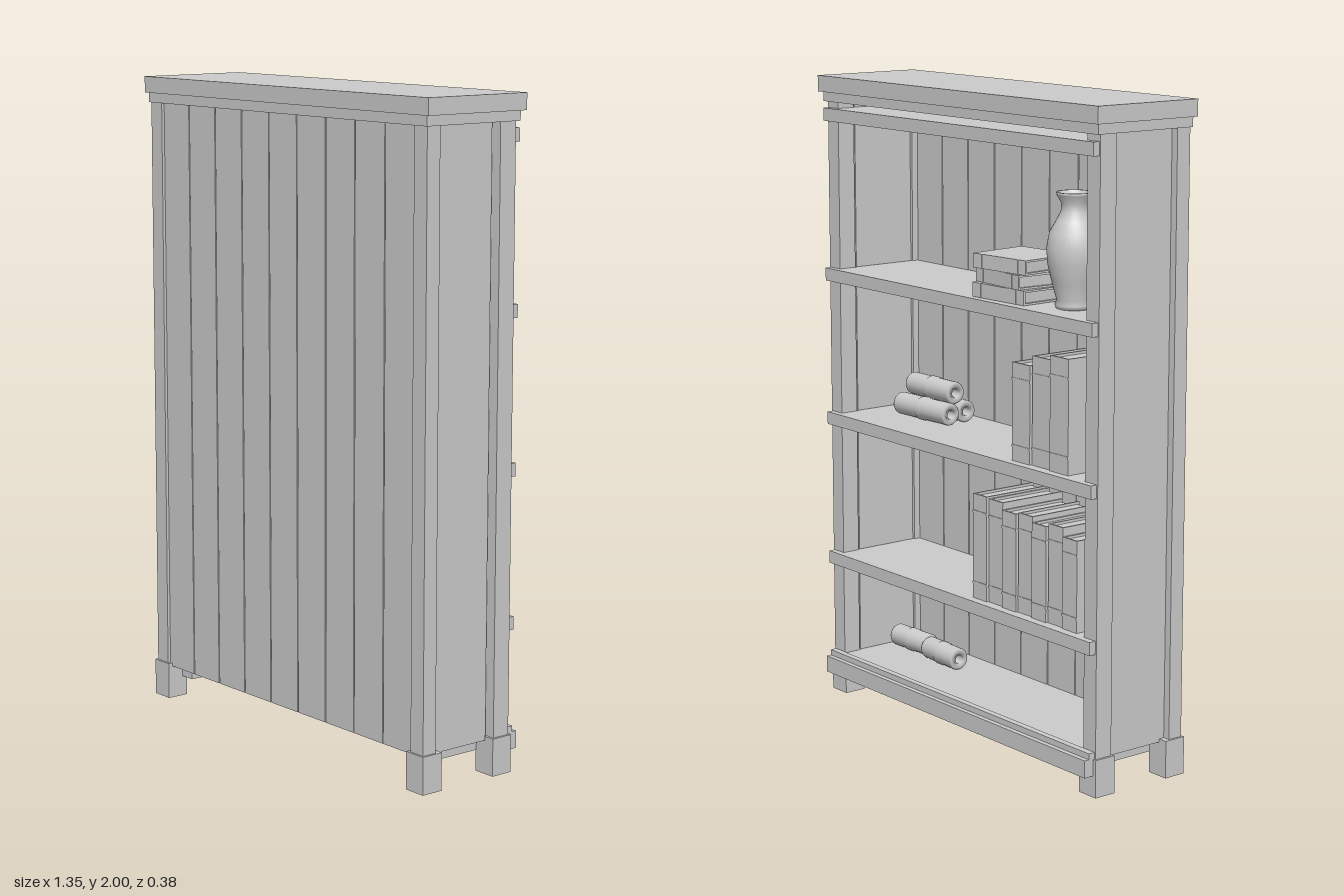
import * as THREE from 'three';

const mat = new THREE.MeshStandardMaterial({ color: 0xcccccc });
const openMat = new THREE.MeshStandardMaterial({ color: 0xcccccc, side: THREE.DoubleSide });

// Box given by its min and max on each axis
function box(parent, name, x0, x1, y0, y1, z0, z1) {
  const m = new THREE.Mesh(new THREE.BoxGeometry(x1 - x0, y1 - y0, z1 - z0), mat);
  m.position.set((x0 + x1) / 2, (y0 + y1) / 2, (z0 + z1) / 2);
  m.name = name;
  parent.add(m);
  return m;
}

// The same box on the left and right sides
function boxPair(parent, name, x0, x1, ...yz) {
  box(parent, name + 'Left', x0, x1, ...yz);
  box(parent, name + 'Right', -x1, -x0, ...yz);
}

// Standing book: spine faces -z, origin at bottom centre of the spine
function makeBook(name, w, h, d) {
  const g = new THREE.Group();
  g.name = name;
  const t = 0.006;
  boxPair(g, 'cover', w / 2 - t, w / 2, 0, h, 0, d);
  box(g, 'spine', -w / 2 + t, w / 2 - t, 0, h, 0, t);
  box(g, 'pages', -w / 2 + t, w / 2 - t, 0.006, h - 0.008, t, d - 0.008);
  for (const f of [0.14, 0.82]) {
    box(g, 'spineBand', -w / 2, w / 2, h * f, h * f + 0.008, -0.002, 0.002);
  }
  return g;
}

// Rolled scroll along x, hollow at the ends, with a tie around the middle
function makeScroll(length, r) {
  const g = new THREE.Group();
  g.name = 'scroll';
  const h = length / 2, i = r * 0.4;
  const profile = [[i, -h], [r * 0.9, -h], [r, -h + 0.006], [r, -0.014], [r * 1.06, -0.012],
    [r * 1.06, 0.012], [r, 0.014], [r, h - 0.006], [r * 0.9, h], [i, h], [i, -h]];
  const roll = new THREE.Mesh(
    new THREE.LatheGeometry(profile.map(p => new THREE.Vector2(...p)), 24), openMat);
  roll.name = 'roll';
  roll.rotation.z = Math.PI / 2;
  g.add(roll);
  return g;
}

function makeVase() {
  const profile = [[0, 0], [0.052, 0], [0.056, 0.012], [0.05, 0.025], [0.064, 0.075], [0.077, 0.13],
    [0.08, 0.175], [0.072, 0.22], [0.052, 0.255], [0.039, 0.28], [0.038, 0.305], [0.051, 0.328],
    [0.053, 0.336], [0.046, 0.336], [0.032, 0.305], [0.034, 0.275], [0.06, 0.22], [0, 0.06]];
  const vase = new THREE.Mesh(
    new THREE.LatheGeometry(profile.map(p => new THREE.Vector2(...p)), 32), openMat);
  vase.name = 'vase';
  return vase;
}

export function createModel() {
  const model = new THREE.Group();
  model.name = 'bookcase';

  // Crown and its molding
  box(model, 'crownTop', -0.673, 0.673, 1.95, 2, -0.18, 0.19);
  box(model, 'crownMolding', -0.66, 0.66, 1.92, 1.95, -0.168, 0.184);

  // Corner posts, feet and inset side panels
  boxPair(model, 'frontPost', 0.6, 0.655, 0.11, 1.925, 0.13, 0.178);
  boxPair(model, 'backPost', 0.6, 0.655, 0.11, 1.925, -0.155, -0.096);
  boxPair(model, 'frontFoot', 0.588, 0.662, 0, 0.115, 0.112, 0.184);
  boxPair(model, 'backFoot', 0.588, 0.662, 0, 0.115, -0.16, -0.088);
  boxPair(model, 'sidePanel', 0.61, 0.632, 0.105, 1.925, -0.085, 0.135);

  // Vertical planks with narrow gaps
  const pitch = 1.2 / 9;
  for (let i = 0; i < 9; i++) {
    const x = -0.6 + i * pitch;
    box(model, 'plank', x + 0.002, x + pitch - 0.002, 0.105, 1.925, 0.15, 0.17);
  }

  // Shelves with end cleats and an edge strip across the posts
  for (const y of [0.45, 0.91, 1.375, 1.88]) {
    box(model, 'shelf', -0.605, 0.605, y, y + 0.02, -0.155, 0.15);
    boxPair(model, 'cleat', 0.54, 0.6, y - 0.02, y, -0.15, 0.145);
    box(model, 'shelfEdge', -0.65, 0.65, y - 0.02, y + 0.02, -0.176, -0.155);
  }

  // Bottom shelf with rail
  box(model, 'bottomShelf', -0.605, 0.605, 0.107, 0.132, -0.155, 0.15);
  boxPair(model, 'bottomCleat', 0.535, 0.59, 0.065, 0.107, -0.165, 0.13);
  box(model, 'bottomEdge', -0.65, 0.65, 0.115, 0.136, -0.176, -0.155);
  box(model, 'bottomRail', -0.65, 0.65, 0.065, 0.118, -0.192, -0.16);

  // Vase and stacked books on the upper shelf
  const vase = makeVase();
  vase.position.set(-0.42, 1.395, -0.05);
  model.add(vase);
  [[0.23, 0.2, 0.04], [0.215, 0.19, -0.06], [0.22, 0.2, 0.1]].forEach(([h, d, turn], i) => {
    const pivot = new THREE.Group();
    pivot.name = 'stackedBook';
    const book = makeBook('book', 0.043, h, d);
    book.rotation.z = Math.PI / 2;
    book.position.set(h / 2, 0, -d / 2);
    pivot.add(book);
    pivot.position.set(-0.19, 1.4175 + i * 0.044, -0.05);
    pivot.rotation.y = turn;
    model.add(pivot);
  });

  // Rows of standing books: [start x, shelf y, width, heights]
  const rows = [
    [-0.3, 0.93, 0.083, [0.295, 0.325, 0.34]],
    [-0.105, 0.47, 0.066, [0.325, 0.32, 0.3, 0.305, 0.29, 0.3, 0.275]],
  ];
  for (const [x, y, w, heights] of rows) {
    heights.forEach((h, i) => {
      const book = makeBook('standingBook', w, h, 0.23);
      book.position.set(x - i * (w + 0.004), y, -0.148 + (i % 2) * 0.006);
      model.add(book);
    });
  }

  // Scrolls piled on the middle shelf and lying on the bottom shelf: [x, y, z, length, turn]
  const scrolls = [
    [0.36, 0.965, 0, 0.25, 0.03], [0.37, 0.965, 0.075, 0.25, -0.02], [0.365, 1.026, 0.038, 0.22, 0],
    [0.31, 0.167, 0.03, 0.17, -0.05], [0.49, 0.167, 0.045, 0.17, 0.04],
  ];
  for (const [x, y, z, length, turn] of scrolls) {
    const s = makeScroll(length, 0.035);
    s.position.set(x, y, z);
    s.rotation.y = turn;
    model.add(s);
  }
  return model;
}
